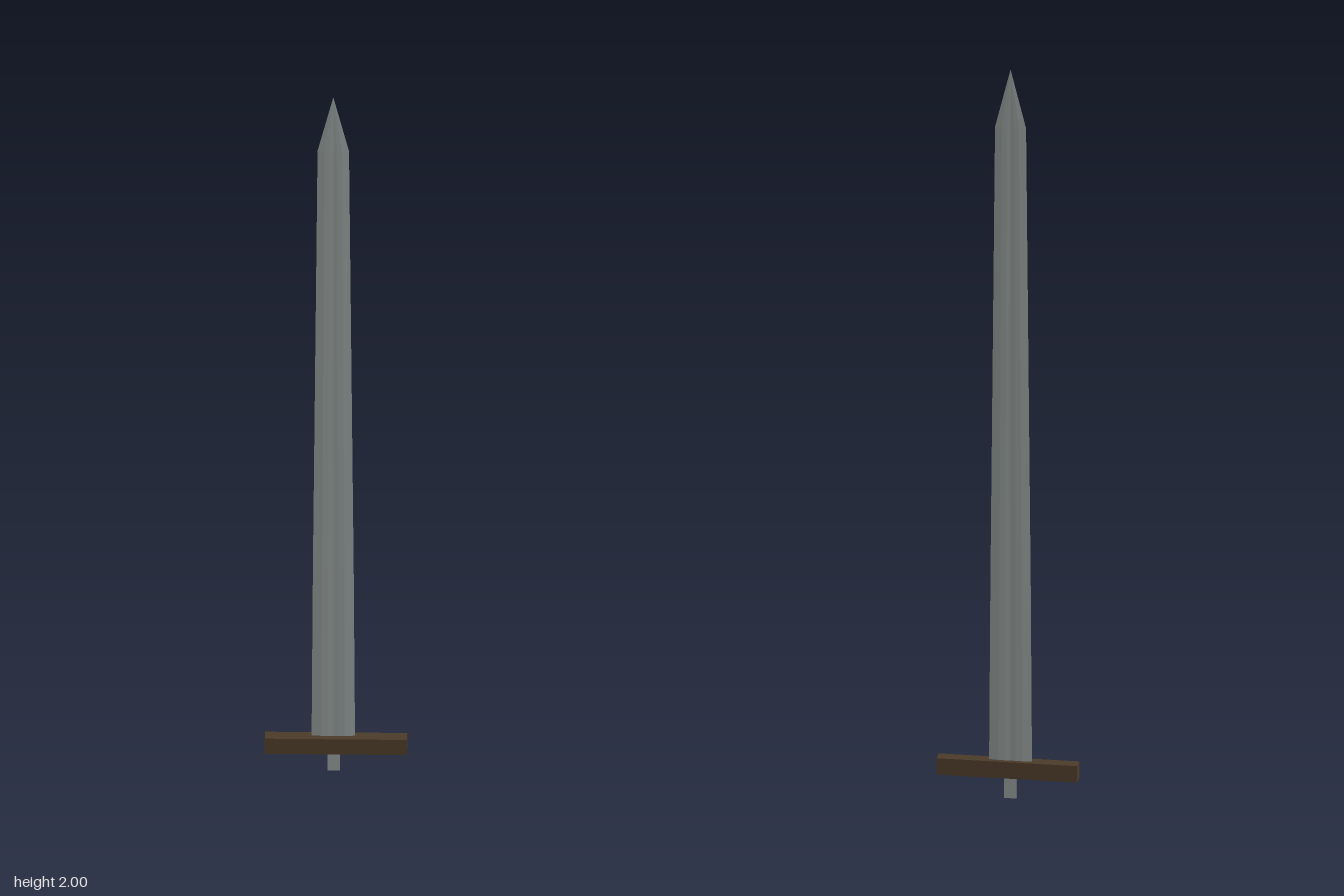
import * as THREE from 'three';

// Cross-section of the blade: fraction of half width, fraction of half thickness
const SECTION = [
  [-1, 0], [-0.55, 1], [-0.25, 1], [0, 0.6], [0.25, 1], [0.55, 1],
  [1, 0], [0.55, -1], [0.25, -1], [0, -0.6], [-0.25, -1], [-0.55, -1],
];

// Lofts the section through rows of [y, half width, half thickness]
function loft(rows, material, name) {
  const n = SECTION.length, pos = [], index = [];
  for (const [y, w, t] of rows) {
    for (const [u, v] of SECTION) pos.push(u * w, y, v * t);
  }
  for (let r = 0; r < rows.length - 1; r++) {
    for (let i = 0; i < n; i++) {
      const a = r * n + i, b = r * n + (i + 1) % n;
      index.push(a, b, b + n, a, b + n, a + n);
    }
  }
  // Flat cap on the lower end
  for (let i = 1; i < n - 1; i++) index.push(0, i + 1, i);
  const geometry = new THREE.BufferGeometry();
  geometry.setAttribute('position', new THREE.Float32BufferAttribute(pos, 3));
  geometry.setIndex(index);
  geometry.computeVertexNormals();
  const mesh = new THREE.Mesh(geometry, material);
  mesh.name = name;
  mesh.position.set(-0.007, 0, -0.002);
  return mesh;
}

export function createModel() {
  const group = new THREE.Group();
  group.name = 'sword';
  const steel = new THREE.MeshStandardMaterial({ color: 0x8c9492, flatShading: true, side: THREE.DoubleSide });
  const wood = new THREE.MeshStandardMaterial({ color: 0x4b3a28, flatShading: true });

  // Tapering blade with a shallow fuller and a pointed tip
  group.add(loft([
    [0.08, 0.056, 0.0028],
    [0.6, 0.0525, 0.0027],
    [1.84, 0.0405, 0.0022],
    [2, 0, 0],
  ], steel, 'blade'));

  // Short bare tang below the guard
  const tang = new THREE.Mesh(new THREE.BoxGeometry(0.032, 0.09, 0.0045), steel);
  tang.name = 'tang';
  tang.position.set(-0.006, 0.045, -0.002);
  group.add(tang);

  // Straight crossguard
  const guard = new THREE.Mesh(new THREE.BoxGeometry(0.366, 0.045, 0.036), wood);
  guard.name = 'crossguard';
  guard.position.set(0, 0.081, 0);
  group.add(guard);

  return group;
}
